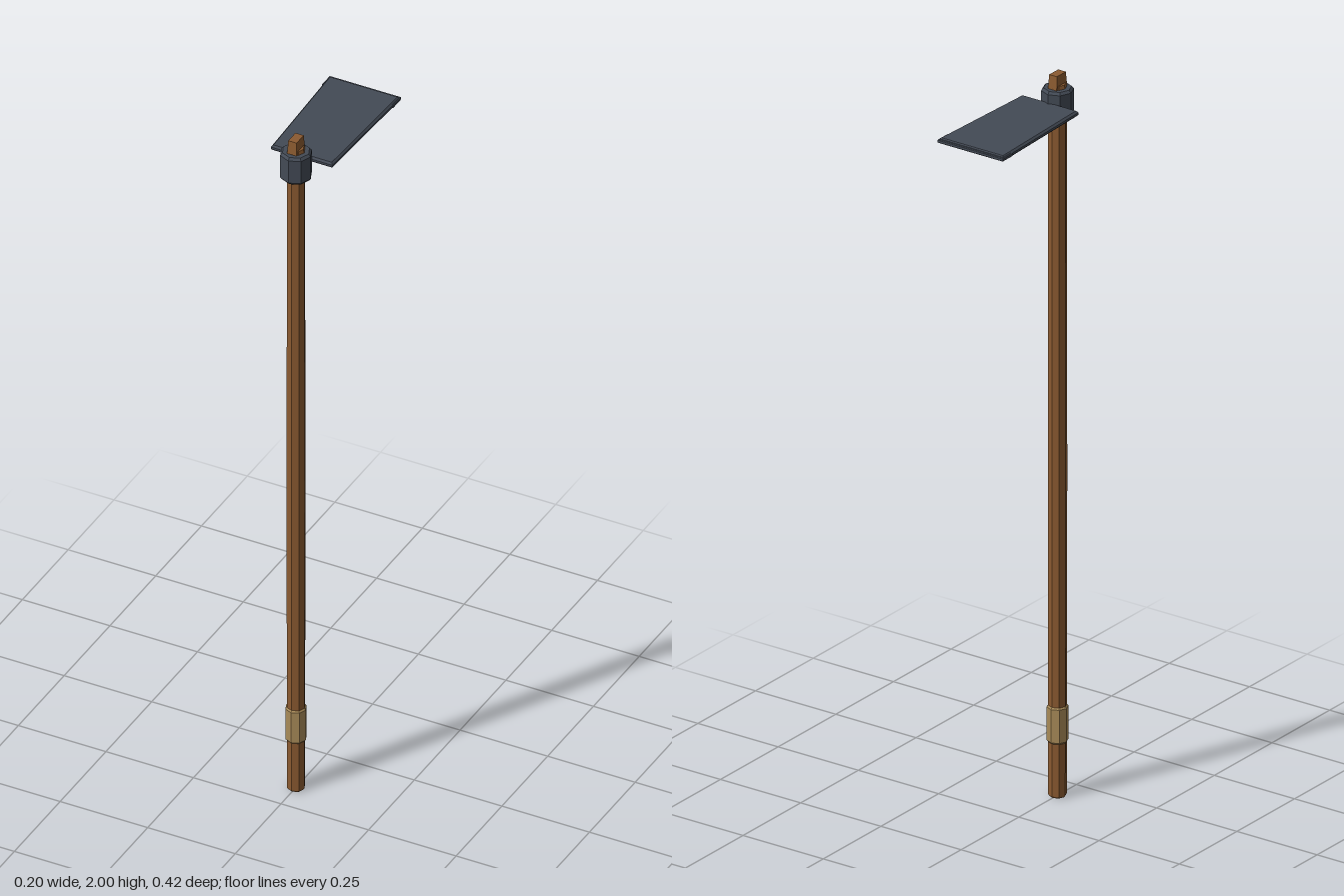
import * as THREE from 'three';

const mat = (color) => new THREE.MeshStandardMaterial({ color, flatShading: true });

export function createModel() {
  const group = new THREE.Group();
  const wood = mat(0x8a5a30), metal = mat(0x434a55), wrap = mat(0xa88a58);
  const poleZ = 0.168;

  const add = (name, geometry, material, x, y, z) => {
    const mesh = new THREE.Mesh(geometry, material);
    mesh.name = name;
    mesh.position.set(x, y, z);
    group.add(mesh);
    return mesh;
  };

  // Eight-sided turned part from [radius, y] points, closed at both ends
  const turned = (name, points, material) => add(name, new THREE.LatheGeometry(
    points.map(([r, y]) => new THREE.Vector2(r, y)), 8), material, 0, 0, poleZ);

  // Flat plate with bevelled rim from [x, z] corners, centred on y
  const plate = (name, corners, thickness, bevel, y) => {
    const shape = new THREE.Shape(corners.map(([x, z]) => new THREE.Vector2(x, -z)));
    const geometry = new THREE.ExtrudeGeometry(shape, {
      depth: thickness - 2 * bevel, bevelThickness: bevel, bevelSize: bevel,
      bevelOffset: -bevel, bevelSegments: 1,
    });
    geometry.translate(0, 0, bevel - thickness / 2);
    geometry.rotateX(-Math.PI / 2);
    return add(name, geometry, metal, 0, y, 0);
  };

  // Long wooden pole, its end showing above the socket
  turned('handle', [[0, 0], [0.021, 0], [0.024, 0.005], [0.025, 0.9], [0.024, 1.96],
    [0.021, 1.972], [0, 1.972]], wood);

  // Wrapped grip near the foot of the pole
  turned('gripWrap', [[0.024, 0.15], [0.028, 0.155], [0.028, 0.247], [0.024, 0.252]], wrap);

  // Chamfered metal socket
  turned('socket', [[0.024, 1.88], [0.036, 1.88], [0.042, 1.887], [0.042, 1.955],
    [0.036, 1.962], [0.023, 1.962]], metal);

  // Wedge driven into the top of the pole, narrowed at its upper end
  const wedge = new THREE.CylinderGeometry(0.6, 0.71, 1, 4, 1);
  wedge.rotateY(Math.PI / 4);
  wedge.scale(0.028, 0.045, 0.046);
  add('wedge', wedge, wood, 0, 1.9775, poleZ);

  // Flaring blade and its thin cutting edge
  plate('blade', [[-0.088, 0.137], [0.088, 0.137], [0.101, -0.207], [-0.101, -0.207]],
    0.016, 0.005, 1.922);
  plate('cuttingEdge', [[-0.102, -0.168], [0.102, -0.168], [0.102, -0.211], [-0.102, -0.211]],
    0.01, 0.002, 1.922);

  return group;
}
